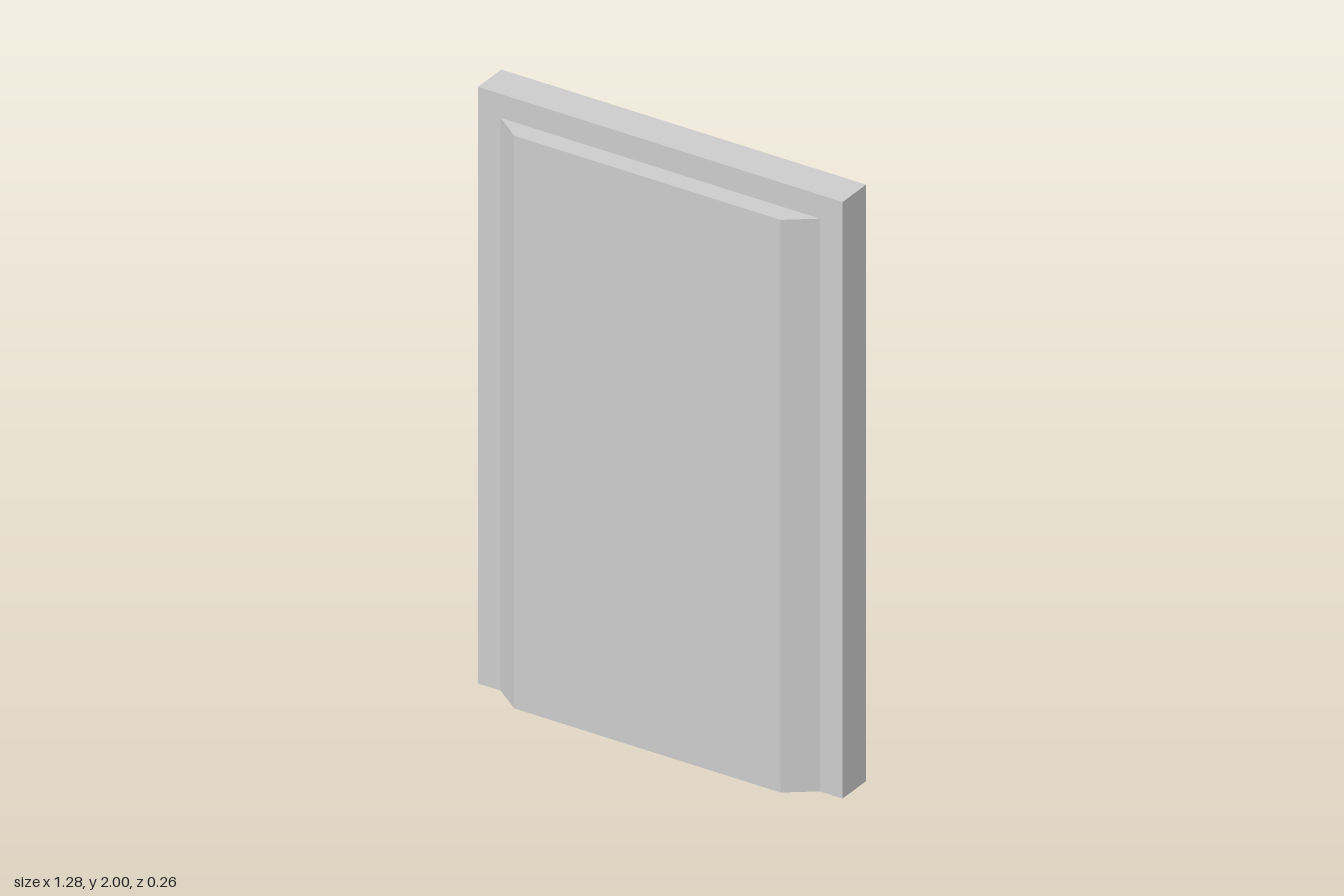
import * as THREE from 'three';

const HEIGHT = 2, HALF_WIDTH = 0.639, HALF_DEPTH = 0.063;
const PANEL = { height: 1.92, base: 0.559, face: 0.467, depth: 0.132 };

export function createModel() {
  const group = new THREE.Group();
  const material = new THREE.MeshStandardMaterial({ color: 0xcccccc, flatShading: true });

  // Central slab
  const slab = new THREE.Mesh(new THREE.BoxGeometry(HALF_WIDTH * 2, HEIGHT, HALF_DEPTH * 2), material);
  slab.name = 'slab';
  slab.position.y = HEIGHT / 2;
  group.add(slab);

  // Raised panel with bevelled sides: a trapezoid plan extruded upwards
  const plan = new THREE.Shape([
    new THREE.Vector2(-PANEL.base, HALF_DEPTH),
    new THREE.Vector2(PANEL.base, HALF_DEPTH),
    new THREE.Vector2(PANEL.face, PANEL.depth),
    new THREE.Vector2(-PANEL.face, PANEL.depth),
  ]);
  const panelGeometry = new THREE.ExtrudeGeometry(plan, { depth: PANEL.height, bevelEnabled: false });
  panelGeometry.rotateX(-Math.PI / 2);

  // One panel on each broad side
  for (const [name, angle] of [['backPanel', 0], ['frontPanel', Math.PI]]) {
    const panel = new THREE.Mesh(panelGeometry, material);
    panel.name = name;
    panel.rotation.y = angle;
    group.add(panel);
  }

  return group;
}
